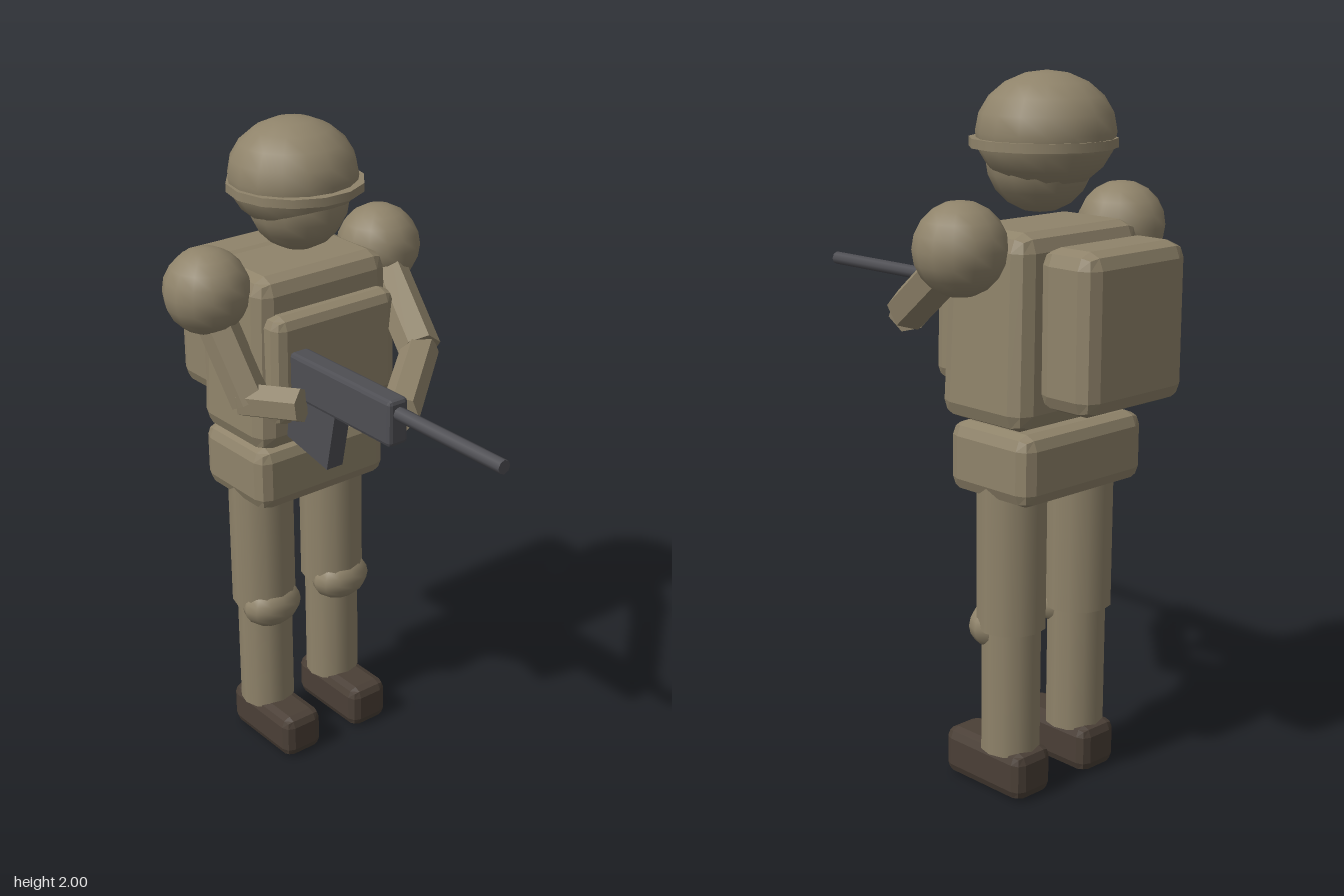
import * as THREE from 'three';
import { RoundedBoxGeometry } from 'three/addons/geometries/RoundedBoxGeometry.js';

const mat = (name, color) => Object.assign(new THREE.MeshStandardMaterial({ color }), { name });

export function createModel() {
  const khaki = mat('khaki', 0x8f836a);
  const boot = mat('dark brown', 0x4a3f36);
  const metal = mat('gunmetal', 0x4e4e53);
  const model = new THREE.Group();
  model.name = 'soldier';

  const add = (name, geometry, material, x = 0, y = 0, z = 0) => {
    const mesh = new THREE.Mesh(geometry, material);
    mesh.name = name;
    mesh.position.set(x, y, z);
    model.add(mesh);
    return mesh;
  };

  // Chamfered box given by its extents; taper narrows the top
  const box = (name, material, [x0, x1], [y0, y1], [z0, z1], chamfer, taper = 1) => {
    const h = y1 - y0;
    const g = new RoundedBoxGeometry(x1 - x0, h, z1 - z0, 1, chamfer);
    const p = g.attributes.position;
    for (let i = 0; i < p.count; i++) {
      const s = THREE.MathUtils.lerp(1, taper, p.getY(i) / h + 0.5);
      p.setX(i, p.getX(i) * s);
      p.setZ(i, p.getZ(i) * s);
    }
    g.computeVertexNormals();
    return add(name, g, material, (x0 + x1) / 2, (y0 + y1) / 2, (z0 + z1) / 2);
  };

  const ball = (name, rx, ry, rz, x, y, z, segments = 14) =>
    add(name, new THREE.SphereGeometry(1, segments, 10).scale(rx, ry, rz), khaki, x, y, z);

  // Six-sided limb between two points
  const limb = (name, from, to, radius) => {
    const a = new THREE.Vector3(...from), b = new THREE.Vector3(...to);
    const dir = b.clone().sub(a);
    const g = new THREE.CylinderGeometry(radius, radius, dir.length(), 6).toNonIndexed();
    g.computeVertexNormals();
    const mesh = add(name, g, khaki);
    mesh.position.copy(a).add(b).multiplyScalar(0.5);
    mesh.quaternion.setFromUnitVectors(new THREE.Vector3(0, 1, 0), dir.normalize());
  };

  // Head and helmet
  ball('head', 0.148, 0.148, 0.148, -0.335, 1.772, 0);
  ball('helmet', 0.187, 0.16, 0.19, -0.355, 1.84, 0, 16);
  add('helmetBrim', new THREE.CylinderGeometry(0.2, 0.2, 0.025, 14), khaki, -0.345, 1.812, 0);

  // Body and gear
  box('torso', khaki, [-0.515, -0.195], [1.075, 1.6], [-0.25, 0.25], 0.05, 0.92);
  box('chestPlate', khaki, [-0.26, -0.15], [1.17, 1.5], [-0.22, 0.22], 0.035, 0.98);
  box('backpack', khaki, [-0.7, -0.51], [1.14, 1.57], [-0.193, 0.193], 0.045);
  box('hips', khaki, [-0.525, -0.222], [0.87, 1.07], [-0.235, 0.235], 0.04);

  // Legs and shoulders, mirrored
  for (const [side, s] of [['left', 1], ['right', -1]]) {
    add(side + 'Thigh', new THREE.CylinderGeometry(0.099, 0.099, 0.45, 12), khaki, -0.373, 0.715, s * 0.134);
    add(side + 'Shin', new THREE.CylinderGeometry(0.085, 0.085, 0.42, 12), khaki, -0.373, 0.335, s * 0.132);
    ball(side + 'Knee', 0.074, 0.073, 0.099, -0.332, 0.488, s * 0.135, 12);
    box(side + 'Boot', boot, [-0.475, -0.172], [0, 0.14], [s * 0.133 - 0.069, s * 0.133 + 0.069], 0.03);
    ball(side + 'Shoulder', 0.126, 0.126, 0.126, -0.353, 1.56, s * 0.31);
  }

  // Arms reaching for the rifle
  limb('leftUpperArm', [-0.353, 1.53, 0.31], [-0.215, 1.255, 0.268], 0.058);
  limb('leftForearm', [-0.235, 1.258, 0.28], [-0.07, 1.273, 0.195], 0.052);
  limb('rightUpperArm', [-0.353, 1.545, -0.31], [-0.045, 1.345, -0.215], 0.063);
  limb('rightForearm', [-0.06, 1.34, -0.23], [0.205, 1.31, 0.07], 0.055);

  // Rifle
  box('rifleBody', metal, [-0.16, 0.287], [1.265, 1.4], [0.108, 0.174], 0.012);
  const barrel = add('rifleBarrel', new THREE.CylinderGeometry(0.02, 0.02, 0.425, 8), metal, 0.4825, 1.36, 0.141);
  barrel.rotation.z = -Math.PI / 2;
  const outline = new THREE.Shape([[-0.165, 1.29], [-0.18, 1.13], [0.005, 1.092], [0.048, 1.29]]
    .map(([x, y]) => new THREE.Vector2(x, y)));
  add('rifleMagazine', new THREE.ExtrudeGeometry(outline, { depth: 0.056, bevelEnabled: false }), metal, 0, 0, 0.113);

  return model;
}
